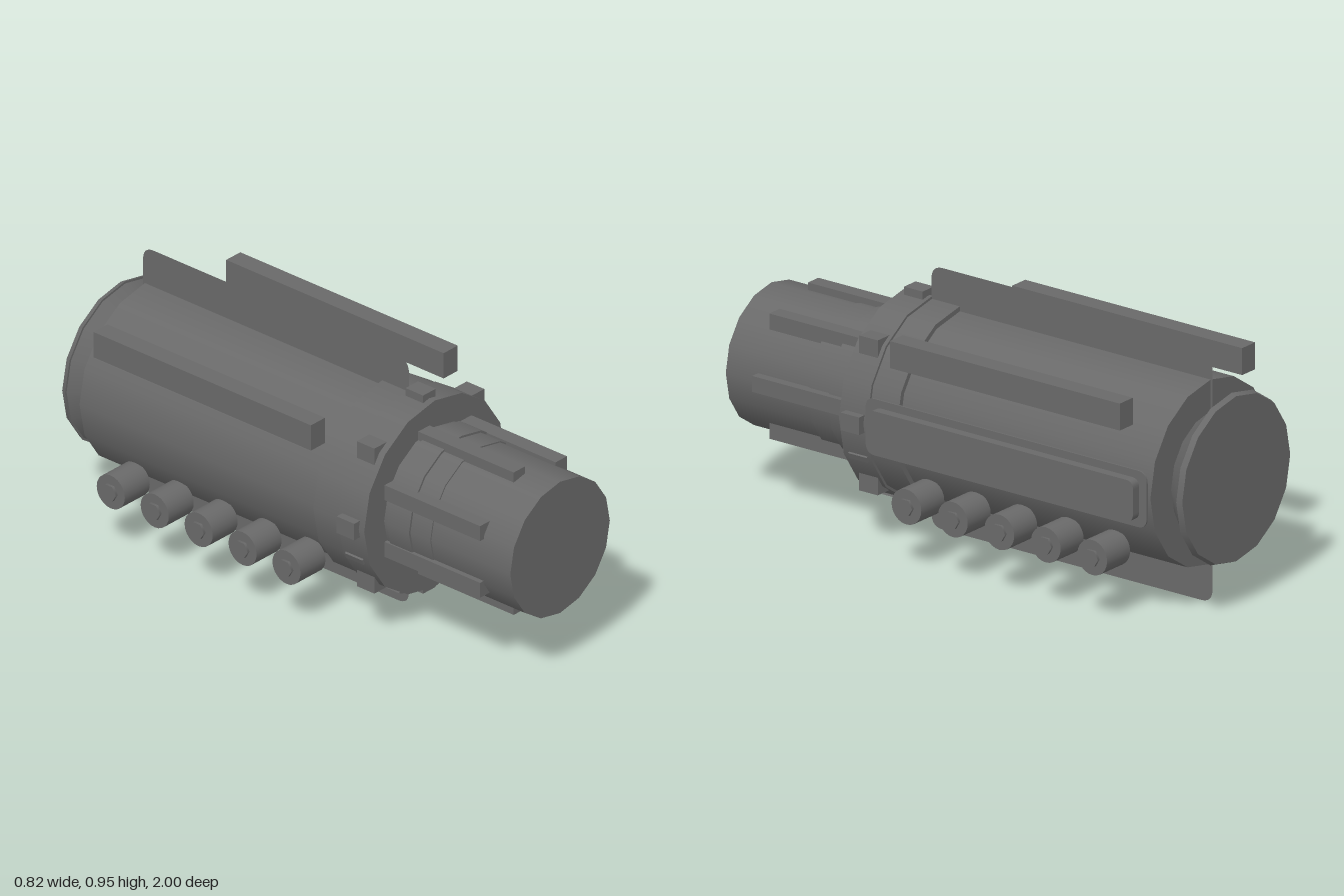
import * as THREE from 'three';

const grey = new THREE.MeshStandardMaterial({ color: 0x696969 });
const thin = new THREE.MeshStandardMaterial({ color: 0x696969, side: THREE.DoubleSide });
const CY = 0.475; // height of the main axis

function roundedRect(w, h, r) {
  const s = new THREE.Shape();
  const x = w / 2, y = h / 2;
  s.moveTo(-x + r, -y);
  s.lineTo(x - r, -y);
  s.quadraticCurveTo(x, -y, x, -y + r);
  s.lineTo(x, y - r);
  s.quadraticCurveTo(x, y, x - r, y);
  s.lineTo(-x + r, y);
  s.quadraticCurveTo(-x, y, -x, y - r);
  s.lineTo(-x, -y + r);
  s.quadraticCurveTo(-x, -y, -x + r, -y);
  return s;
}

export function createModel() {
  const group = new THREE.Group();

  const add = (name, geometry, x, y, z, material = grey) => {
    const mesh = new THREE.Mesh(geometry, material);
    mesh.name = name;
    mesh.position.set(x, y, z);
    group.add(mesh);
    return mesh;
  };
  const box = (name, w, h, d, x, y, z) => add(name, new THREE.BoxGeometry(w, h, d), x, y, z);
  // Drum along z, from the back radius and z to the front radius and z
  const drum = (name, rBack, zBack, rFront, zFront) => {
    const g = new THREE.CylinderGeometry(rFront, rBack, zFront - zBack, 16);
    g.rotateX(Math.PI / 2);
    return add(name, g, 0, CY, (zBack + zFront) / 2);
  };

  // Hull sections along the axis
  drum('noseDrum', 0.255, 0.42, 0.255, 1);
  drum('noseSleeve', 0.26, 0.42, 0.26, 0.64);
  drum('noseBand', 0.268, 0.45, 0.268, 0.55);
  drum('collar', 0.362, 0.31, 0.362, 0.43);
  drum('bodyBand', 0.353, 0.19, 0.353, 0.31);
  drum('body', 0.335, -0.89, 0.335, 0.19);
  drum('rearFlare', 0.3, -0.98, 0.22, -0.89);
  drum('rearRim', 0.3, -1, 0.308, -0.98);

  // Seven ribs around the nose
  for (let i = 0; i < 7; i++) {
    const a = (i / 7) * Math.PI * 2;
    box('noseRib', 0.058, 0.058, 0.45, 0.254 * Math.cos(a), CY + 0.254 * Math.sin(a), 0.64);
  }

  // Eight square lugs around the collar
  for (let i = 0; i < 8; i++) {
    const a = (i / 4) * Math.PI;
    box('collarLug', 0.064, 0.064, 0.08, 0.353 * Math.cos(a), CY + 0.353 * Math.sin(a), 0.365);
  }

  // Flat full-height fin through the axis
  const fin = add('fin', new THREE.ShapeGeometry(roundedRect(1.21, 0.95, 0.05)), 0, CY, -0.293, thin);
  fin.rotation.y = Math.PI / 2;

  // Side panel: thin backing plate with a raised cover, on the left only
  const plate = add('sidePlate', new THREE.ExtrudeGeometry(roundedRect(1.21, 0.205, 0.04),
    { depth: 0.006, bevelEnabled: false }), 0.36, 0.478, -0.293);
  plate.rotation.y = Math.PI / 2;
  const cover = add('sideCover', new THREE.ExtrudeGeometry(roundedRect(1.14, 0.15, 0.03),
    { depth: 0.07, bevelEnabled: false }), 0.33, 0.477, -0.295);
  cover.rotation.y = Math.PI / 2;

  // Mirrored side parts
  const podGeometry = new THREE.CylinderGeometry(0.064, 0.064, 0.128, 24).rotateZ(Math.PI / 2);
  const boltGeometry = new THREE.CylinderGeometry(0.032, 0.032, 0.02, 6).rotateZ(Math.PI / 2);
  for (const s of [-1, 1]) {
    box('upperRail', 0.072, 0.098, 0.99, s * 0.34, 0.762, -0.295);
    for (let i = 0; i < 5; i++) {
      const z = 0.11 - i * 0.2;
      add('pod', podGeometry, s * 0.336, 0.236, z);
      add('podBolt', boltGeometry, s * 0.4, 0.236, z);
    }
    // Small tilted lugs low on the collar
    for (const deg of [-22, -67]) {
      const a = THREE.MathUtils.degToRad(deg);
      const clip = box('collarClip', 0.02, 0.022, 0.08,
        s * 0.357 * Math.cos(a), CY + 0.357 * Math.sin(a), 0.365);
      clip.rotation.z = s * a;
    }
  }

  return group;
}
